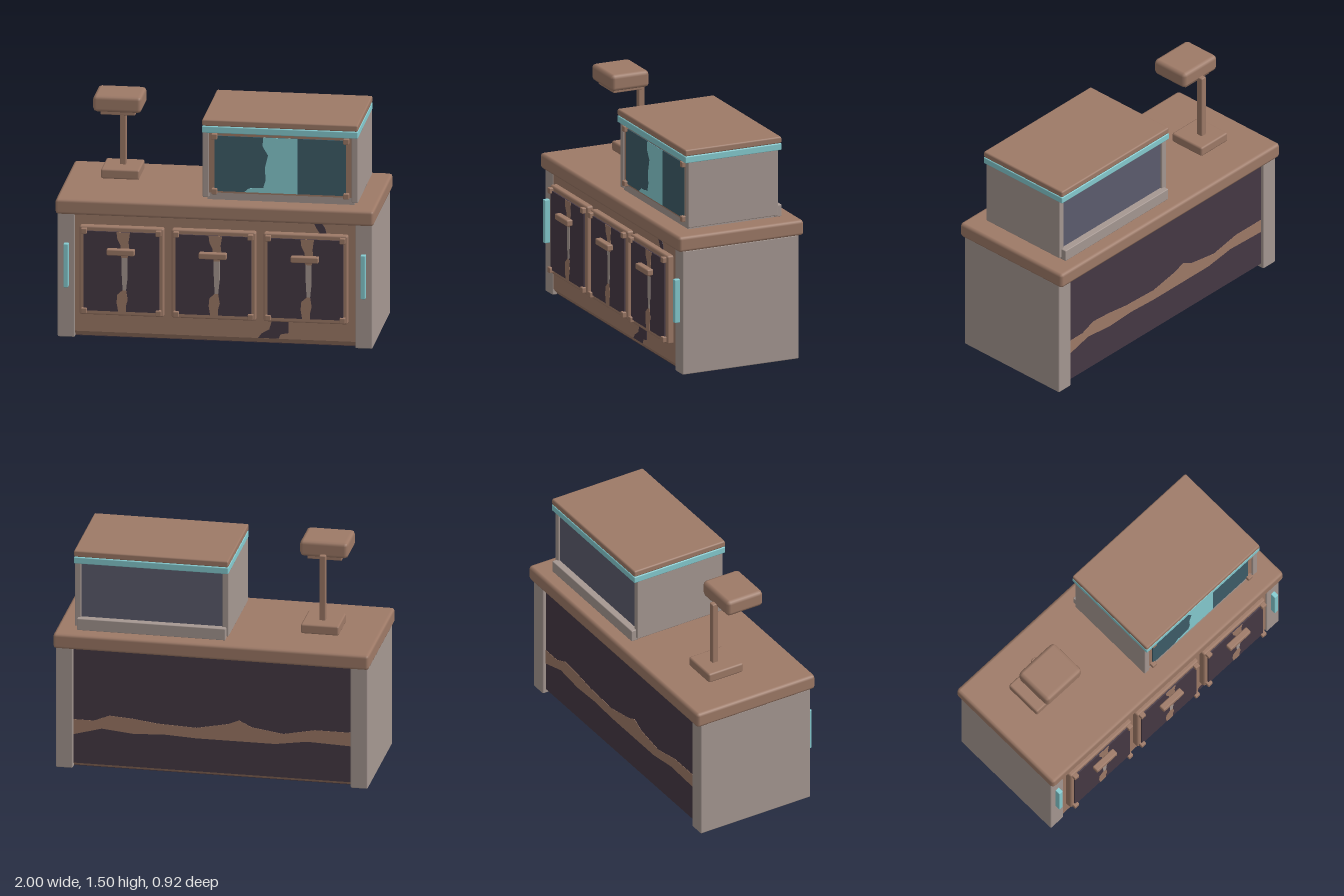
import * as THREE from 'three';
import { RoundedBoxGeometry } from 'three/addons/geometries/RoundedBoxGeometry.js';

const material = (name, color) => {
  const m = new THREE.MeshStandardMaterial({ color });
  m.name = name;
  return m;
};

export function createModel() {
  const model = new THREE.Group();
  model.name = 'shopCounter';
  const wood = material('brownWood', 0x9e7a67);
  const grey = material('warmGrey', 0xa69892);
  const dark = material('darkPlum', 0x463944);
  const cyan = material('paleCyan', 0x86ccd1);
  const glass = material('deepTeal', 0x3e5d69);
  const slate = material('slate', 0x5d5d6e);

  // Box given by its limits, with an optional bevel
  const box = (parent, name, mat, [x0, x1], [y0, y1], [z0, z1], bevel = 0) => {
    const w = x1 - x0, h = y1 - y0, d = z1 - z0;
    const geo = bevel ? new RoundedBoxGeometry(w, h, d, 1, bevel) : new THREE.BoxGeometry(w, h, d);
    const mesh = new THREE.Mesh(geo, mat);
    mesh.name = name;
    mesh.position.set((x0 + x1) / 2, (y0 + y1) / 2, (z0 + z1) / 2);
    parent.add(mesh);
    return mesh;
  };

  // Painted patch: a thin plate with an irregular outline in x and y
  const patch = (parent, name, mat, points, z) => {
    const shape = new THREE.Shape(points.map(([x, y]) => new THREE.Vector2(x, y)));
    const mesh = new THREE.Mesh(new THREE.ExtrudeGeometry(shape, { depth: 0.002, bevelEnabled: false }), mat);
    mesh.name = name;
    mesh.position.z = z;
    parent.add(mesh);
  };

  // Four square studs on the corners of a panel
  const studs = (parent, xs, ys, z, size) => {
    for (const x of xs) for (const y of ys) {
      box(parent, 'cornerStud', wood, [x - size / 2, x + size / 2], [y - size / 2, y + size / 2], z, 0.005);
    }
  };

  // Counter body: profile with chamfered lower edges, extruded sideways
  const counter = new THREE.Group();
  counter.name = 'counter';
  model.add(counter);
  const profile = new THREE.Shape([
    [-0.365, 0.04], [-0.34, 0.008], [0.38, 0.008], [0.40, 0.03], [0.40, 0.81], [-0.365, 0.81],
  ].map(([z, y]) => new THREE.Vector2(z, y)));
  const body = new THREE.Mesh(new THREE.ExtrudeGeometry(profile, { depth: 1.77, bevelEnabled: false }), wood);
  body.name = 'counterBody';
  body.rotation.y = Math.PI / 2;
  body.position.x = -0.885;
  counter.add(body);
  box(counter, 'counterTop', wood, [-1, 1], [0.8, 0.9], [-0.46, 0.403], 0.02);

  // Side panels with light bars
  for (const s of [-1, 1]) {
    const xs = (a, b) => (s > 0 ? [a, b] : [-b, -a]);
    box(counter, 'sidePanel', grey, xs(0.88, 0.988), [0, 0.805], [-0.428, 0.373], 0.007);
    box(counter, 'lightBar', cyan, xs(0.917, 0.948), [0.33, 0.612], [0.365, 0.408], 0.005);
  }

  // Dark back and underside, each with brown bands
  box(counter, 'backPanel', dark, [-0.88, 0.88], [0.03, 0.8], [-0.406, -0.399]);
  patch(counter, 'backStreak', wood, [
    [0.88, 0.22], [0.7, 0.27], [0.5, 0.25], [0.3, 0.26], [0.1, 0.25], [-0.1, 0.25], [-0.4, 0.25],
    [-0.6, 0.28], [-0.88, 0.27], [-0.88, 0.36], [-0.65, 0.36], [-0.45, 0.32], [-0.25, 0.35],
    [-0.17, 0.39], [-0.1, 0.36], [0.1, 0.32], [0.35, 0.33], [0.5, 0.35], [0.65, 0.36], [0.75, 0.32], [0.88, 0.32],
  ].reverse(), -0.408);
  box(counter, 'underside', dark, [-0.88, 0.88], [0.004, 0.01], [-0.38, 0.34]);
  box(counter, 'undersideStreak', wood, [-0.88, 0.88], [0.002, 0.006], [-0.25, -0.2]);
  box(counter, 'undersideStreak', wood, [-0.1, 0.88], [0.002, 0.006], [0.2, 0.25]);

  // Dark stains on the front
  patch(counter, 'lowerStain', dark, [
    [0.27, 0.042], [0.40, 0.042], [0.41, 0.07], [0.46, 0.08], [0.46, 0.17], [0.36, 0.17], [0.34, 0.1], [0.29, 0.07],
  ], 0.365);
  patch(counter, 'upperStain', dark, [[0.66, 0.73], [0.7, 0.73], [0.69, 0.77], [0.67, 0.8], [0.62, 0.8], [0.64, 0.76]], 0.365);

  // Three doors
  for (const x of [-0.582, -0.004, 0.573]) {
    const door = new THREE.Group();
    door.name = 'door';
    door.position.x = x;
    counter.add(door);
    box(door, 'doorFrame', wood, [-0.265, 0.265], [0.16, 0.735], [0.35, 0.406], 0.012);
    box(door, 'doorPanel', dark, [-0.237, 0.237], [0.19, 0.705], [0.4, 0.415]);
    patch(door, 'upperStreak', wood, [
      [0, 0.54], [0.04, 0.54], [0.05, 0.6], [0.045, 0.64], [0.055, 0.705], [-0.03, 0.705], [-0.025, 0.66], [-0.005, 0.62],
    ], 0.4145);
    patch(door, 'middleStreak', grey, [[0.008, 0.33], [0.03, 0.33], [0.04, 0.42], [0.04, 0.54], [0, 0.54], [0.003, 0.42]], 0.4145);
    patch(door, 'lowerStreak', wood, [
      [-0.02, 0.19], [0.03, 0.19], [0.03, 0.23], [0.04, 0.27], [0.03, 0.33], [0.008, 0.33], [-0.025, 0.3], [-0.03, 0.25],
    ], 0.4145);
    studs(door, [-0.234, 0.234], [0.19, 0.706], [0.4, 0.432], 0.036);
    box(door, 'doorHandle', wood, [-0.088, 0.088], [0.563, 0.603], [0.416, 0.46], 0.008);
  }

  // Display case
  const display = new THREE.Group();
  display.name = 'displayCase';
  model.add(display);
  box(display, 'caseBase', grey, [-0.06, 0.86], [0.895, 0.957], [-0.335, 0.272]);
  box(display, 'caseRearLedge', grey, [-0.075, 0.865], [0.9, 0.977], [-0.37, -0.32], 0.005);
  for (const x of [-0.09, 0.845]) {
    box(display, 'caseSide', grey, [x, x + 0.04], [0.915, 1.345], [-0.337, 0.286], 0.006);
  }
  box(display, 'caseBack', slate, [-0.055, 0.85], [0.95, 1.34], [-0.325, -0.29]);
  box(display, 'caseFrontFrame', wood, [-0.052, 0.847], [0.945, 1.34], [0.2, 0.274]);
  box(display, 'caseGlass', glass, [-0.015, 0.81], [0.957, 1.315], [0.272, 0.28]);
  patch(display, 'glassStreak', cyan, [
    [0.17, 0.957], [0.505, 0.957], [0.505, 1.315], [0.29, 1.315], [0.285, 1.26], [0.32, 1.2],
    [0.3, 1.12], [0.305, 1.04], [0.29, 0.99], [0.2, 0.983],
  ], 0.2795);
  studs(display, [-0.016, 0.812], [0.958, 1.313], [0.27, 0.302], 0.036);
  box(display, 'caseLightTrim', cyan, [-0.092, 0.887], [1.338, 1.382], [-0.36, 0.306], 0.006);
  box(display, 'caseLid', wood, [-0.092, 0.887], [1.382, 1.425], [-0.36, 0.306], 0.01);

  // Head on a post
  const stand = new THREE.Group();
  stand.name = 'scannerStand';
  model.add(stand);
  box(stand, 'standBase', wood, [-0.767, -0.525], [0.928, 0.992], [-0.232, 0.02], 0.012);
  box(stand, 'standPost', wood, [-0.665, -0.625], [0.98, 1.42], [-0.142, -0.1], 0.006);
  box(stand, 'headUnderplate', wood, [-0.757, -0.538], [1.373, 1.41], [-0.085, 0.115], 0.005);
  box(stand, 'standHead', wood, [-0.8, -0.495], [1.395, 1.502], [-0.115, 0.147], 0.025);

  return model;
}
